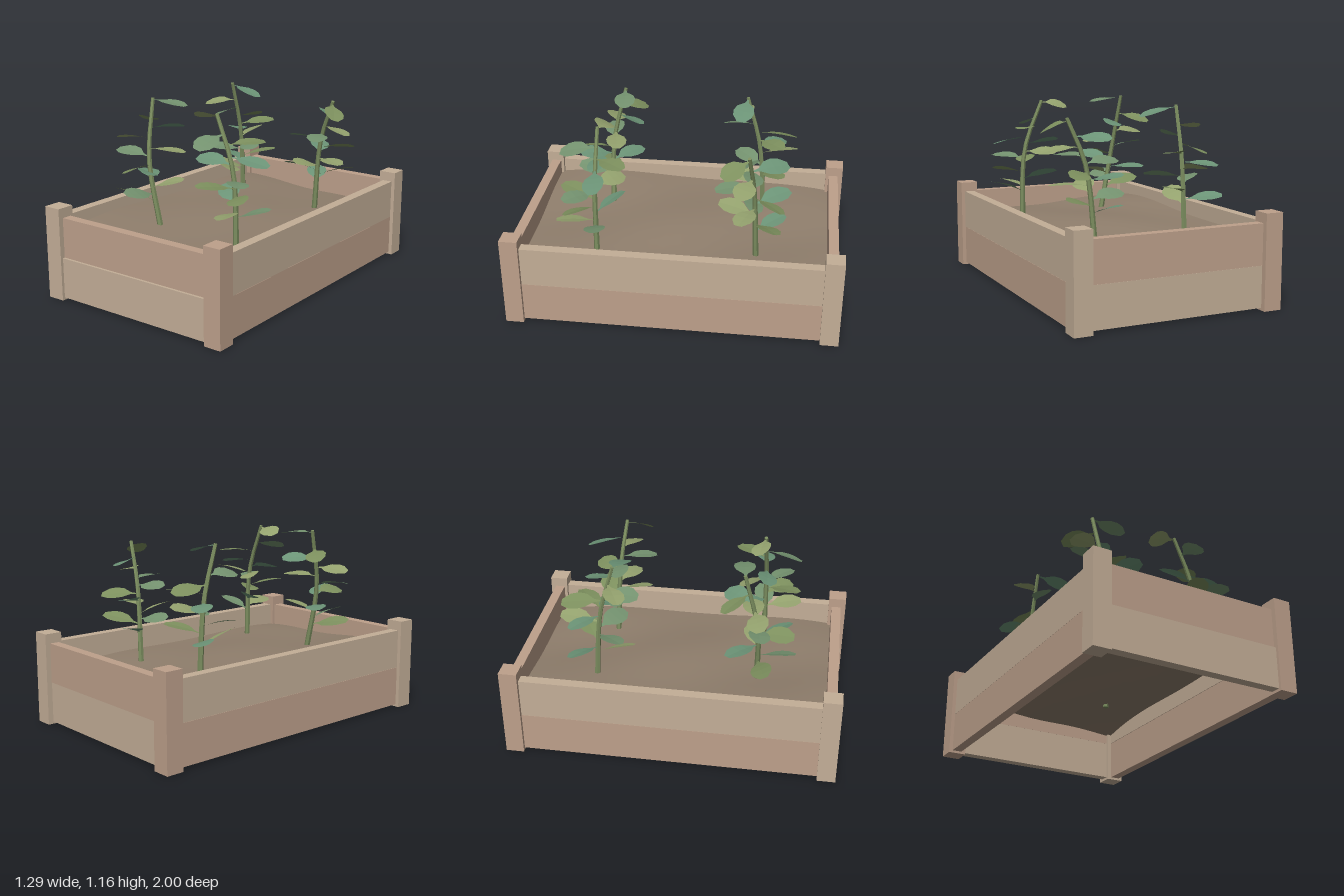
import * as THREE from 'three';

const mat = (color, extra = {}) => new THREE.MeshStandardMaterial({ color, ...extra });
const tan = mat(0xc3ae97), rose = mat(0xbda08b);
const soilMat = mat(0x8f7e6c, { side: THREE.DoubleSide });
const stemMat = mat(0x7a8c5e, { flatShading: true });
const leafMats = [0x74926f, 0x94a26e, 0x6c9477, 0x7d905e]
  .map(c => mat(c, { flatShading: true, side: THREE.DoubleSide }));

function add(parent, name, geometry, material, x = 0, y = 0, z = 0) {
  const mesh = new THREE.Mesh(geometry, material);
  mesh.name = name;
  mesh.position.set(x, y, z);
  parent.add(mesh);
  return mesh;
}

// Timber frame: four posts and two stacked planks per side
function buildFrame() {
  const frame = new THREE.Group();
  frame.name = 'timberFrame';
  for (const s of [-1, 1]) {
    for (const t of [-1, 1]) {
      add(frame, 'cornerPost', new THREE.BoxGeometry(0.11, 0.565, 0.11),
        s === t ? rose : tan, s * 0.588, 0.2825, t * 0.945);
    }
    add(frame, 'lowerSidePlank', new THREE.BoxGeometry(0.06, 0.246, 1.78), rose, s * 0.59, 0.138, 0);
    add(frame, 'upperSidePlank', new THREE.BoxGeometry(0.062, 0.243, 1.78), tan, s * 0.589, 0.3835, 0);
    add(frame, 'lowerEndPlank', new THREE.BoxGeometry(1.066, 0.246, 0.06), tan, 0, 0.138, s * 0.945 + 0.008);
    add(frame, 'upperEndPlank', new THREE.BoxGeometry(1.066, 0.243, 0.06), rose, 0, 0.3835, s * 0.939);
  }
  return frame;
}

// Gently uneven sheet of soil, open underneath
function buildSoil() {
  const geo = new THREE.PlaneGeometry(1.125, 1.82, 14, 22).rotateX(-Math.PI / 2);
  const p = geo.attributes.position;
  for (let i = 0; i < p.count; i++) {
    const x = p.getX(i), z = p.getZ(i);
    p.setY(i, 0.395 - 0.05 * x + 0.02 * z - 0.04 * z ** 4
      + 0.012 * Math.cos(5 * z) * Math.cos(4 * x) + 0.006 * Math.cos(9 * x - 4 * z));
  }
  geo.computeVertexNormals();
  return geo;
}

// Tapered six-sided stem swept along a curve
function buildStem(curve) {
  const rings = 8, sides = 6;
  const geo = new THREE.TubeGeometry(curve, rings, 1, sides);
  const p = geo.attributes.position, v = new THREE.Vector3();
  for (let i = 0; i < p.count; i++) {
    const u = Math.floor(i / (sides + 1)) / rings;
    const c = curve.getPointAt(u);
    v.fromBufferAttribute(p, i).sub(c).multiplyScalar(0.018 - 0.007 * u).add(c);
    p.setXYZ(i, v.x, v.y, v.z);
  }
  geo.computeVertexNormals();
  return geo;
}

// Leaf half widths at even steps: a thin stalk, then a blunt blade
const leafWidths = [0.003, 0.012, 0.052, 0.064, 0.058, 0.024];

// Slightly folded leaf from a stem point to its tip
function buildLeaf(base, tip, roll) {
  const d = tip.clone().sub(base), length = d.length(), last = leafWidths.length - 1;
  d.normalize();
  const side = new THREE.Vector3(0, 1, 0).cross(d).normalize().applyAxisAngle(d, roll);
  const up = d.clone().cross(side);
  const pos = [], index = [];
  leafWidths.forEach((w, r) => {
    const t = r / last;
    for (const s of [-1, 0, 1]) {
      const q = base.clone().addScaledVector(d, t * length).addScaledVector(side, s * w)
        .addScaledVector(up, 0.008 * Math.sin(Math.PI * t) + Math.abs(s) * w * 0.06);
      pos.push(q.x, q.y, q.z);
    }
    if (r === last) return;
    for (let k = 0; k < 2; k++) {
      const a = r * 3 + k;
      index.push(a, a + 3, a + 1, a + 1, a + 3, a + 4);
    }
  });
  const geo = new THREE.BufferGeometry();
  geo.setAttribute('position', new THREE.Float32BufferAttribute(pos, 3));
  geo.setIndex(index);
  geo.computeVertexNormals();
  return geo;
}

// One plant: stem through three points, leaves from top to bottom by heading in degrees (0 = +x, 90 = +z)
function buildPlant(name, seed, stem, headings) {
  const plant = new THREE.Group();
  plant.name = name;
  const [, middle, top] = stem.map(q => new THREE.Vector3(...q));
  const curve = new THREE.CatmullRomCurve3(stem.map(q => new THREE.Vector3(...q)));
  add(plant, 'stem', buildStem(curve), stemMat);

  // Flat cap on each cut end of the stem
  for (const u of [0, 1]) {
    const c = curve.getPointAt(u);
    const cap = add(plant, 'stemEnd', new THREE.CircleGeometry(0.018 - 0.007 * u, 6), stemMat, c.x, c.y, c.z);
    cap.lookAt(c.clone().addScaledVector(curve.getTangentAt(u), 2 * u - 1));
  }

  // Leaves crowd towards the base; low ones rise and high ones droop, tips circle the plant's middle
  const samples = curve.getPoints(60), highest = top.y - 0.02;
  headings.forEach((deg, i) => {
    const k = (i / (headings.length - 1)) ** 0.75;
    const base = samples.find(q => q.y >= THREE.MathUtils.lerp(highest, 0.54, k));
    const a = THREE.MathUtils.degToRad(deg), reach = 0.225 + 0.012 * Math.sin(i * 1.9 + seed);
    const rise = -0.045 + 0.1 * k + 0.025 * Math.cos(i * 2.7 + seed);
    const tip = base.clone().lerp(middle, 0.6).setY(base.y + rise);
    tip.x += reach * Math.cos(a);
    tip.z += reach * Math.sin(a);
    const roll = 0.36 * Math.sin(i * 2.4 + seed * 1.7);
    add(plant, 'leaf', buildLeaf(base, tip, roll), leafMats[(i * 3 + seed + (i >> 2)) % 4]);
  });
  return plant;
}

export function createModel() {
  const model = new THREE.Group();
  model.name = 'raisedGardenBed';
  model.add(buildFrame());
  add(model, 'soil', buildSoil(), soilMat);
  model.add(
    buildPlant('frontLeftPlant', 0, [[-0.205, 0.37, 0.48], [-0.288, 0.8, 0.48], [-0.318, 1.155, 0.4]],
      [-20, 225, -57, 170, -13, 172, 90, 54, 225, -15, 90, 165]),
    buildPlant('frontRightPlant', 1, [[0.36, 0.36, 0.48], [0.338, 0.82, 0.48], [0.22, 1.135, 0.475]],
      [188, 105, -60, -8, 175, 222, 45, 115, 45, 220, 72, -8]),
    buildPlant('backLeftPlant', 2, [[-0.3, 0.37, -0.49], [-0.298, 0.82, -0.455], [-0.302, 1.14, -0.37]],
      [20, 145, 92, 268, -42, 224, 268, 30, 133, -38, 217, 95]),
    buildPlant('backRightPlant', 3, [[0.28, 0.345, -0.48], [0.33, 0.82, -0.46], [0.432, 1.09, -0.43]],
      [45, 245, 18, 70, 172, -48, 238, 22, 102, 172, -38, 235]),
  );
  return model;
}
